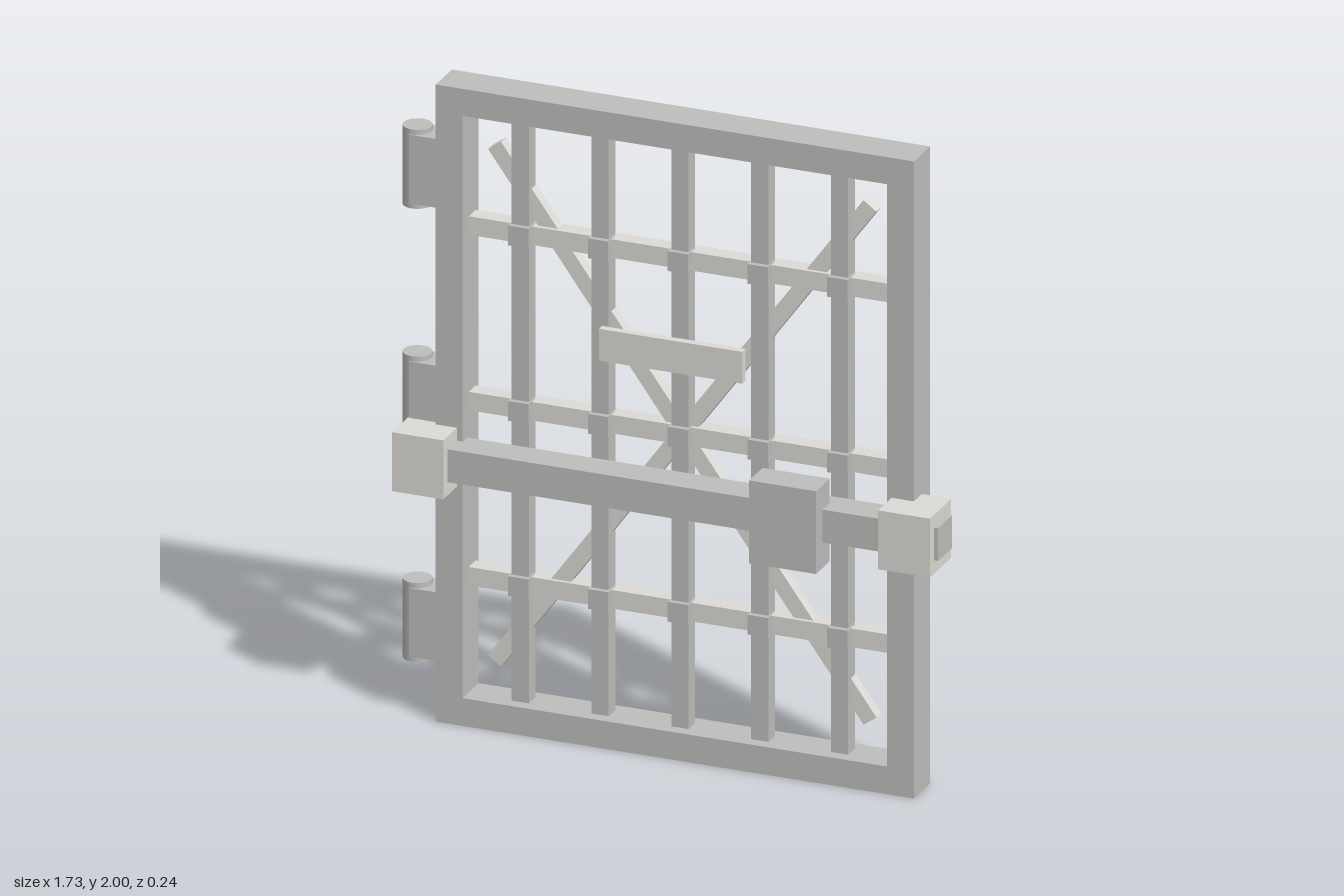
import * as THREE from 'three';

export function createModel() {
  const model = new THREE.Group();
  model.name = 'barredGate';

  const darkIron = new THREE.MeshStandardMaterial({ color: 0xbebebc });
  darkIron.name = 'grey iron';
  const paleSteel = new THREE.MeshStandardMaterial({ color: 0xdddbd6 });
  paleSteel.name = 'pale steel';

  // Box given by its lower and upper limits on each axis
  function box(name, material, [x0, x1], [y0, y1], [z0, z1], parent = model) {
    const mesh = new THREE.Mesh(new THREE.BoxGeometry(x1 - x0, y1 - y0, z1 - z0), material);
    mesh.position.set((x0 + x1) / 2, (y0 + y1) / 2, (z0 + z1) / 2);
    mesh.name = name;
    parent.add(mesh);
    return mesh;
  }

  // Outer frame, one piece with a rectangular opening
  const outline = new THREE.Shape();
  outline.moveTo(-0.739, 0).lineTo(0.759, 0).lineTo(0.759, 2).lineTo(-0.739, 2).closePath();
  const opening = new THREE.Path();
  opening.moveTo(-0.655, 0.087).lineTo(-0.655, 1.915).lineTo(0.674, 1.915).lineTo(0.674, 0.087).closePath();
  outline.holes.push(opening);
  const frame = new THREE.Mesh(
    new THREE.ExtrudeGeometry(outline, { depth: 0.122, bevelEnabled: false }), darkIron);
  frame.position.z = -0.12;
  frame.name = 'frame';
  model.add(frame);

  // Upright bars, cross bars and the collars where they meet
  const columns = [-0.49, -0.24, 0.01, 0.26, 0.51];
  const rows = [0.452, 1.002, 1.553];
  for (const x of columns) {
    box('uprightBar', darkIron, [x - 0.027, x + 0.027], [0.087, 1.915], [-0.086, -0.036]);
  }
  for (const y of rows) {
    box('crossBar', paleSteel, [-0.655, 0.674], [y - 0.029, y + 0.029], [-0.097, -0.044]);
    for (const x of columns) {
      box('collar', darkIron, [x - 0.032, x + 0.032], [y - 0.031, y + 0.031], [-0.075, -0.02]);
    }
  }

  // Diagonal braces
  for (const side of [-1, 1]) {
    const brace = new THREE.Mesh(new THREE.BoxGeometry(2, 0.05, 0.036), paleSteel);
    brace.position.set(0.009, 1.003, -0.074 + side * 0.0005);
    brace.rotation.z = side * Math.atan2(1.61, 1.17);
    brace.name = 'diagonalBrace';
    model.add(brace);
  }

  // Sliding bolt with its end brackets and lock
  box('boltBar', darkIron, [-0.75, 0.864], [0.79, 0.893], [-0.03, 0.073]);
  box('boltBracketRight', paleSteel, [-0.833, -0.673], [0.748, 0.933], [-0.057, 0.104]);
  box('boltBracketLeft', paleSteel, [0.689, 0.851], [0.748, 0.933], [-0.057, 0.104]);
  box('lockBox', darkIron, [0.292, 0.502], [0.71, 0.97], [0.02, 0.122]);

  // Blank plate on the front
  box('frontPlate', paleSteel, [-0.215, 0.235], [1.23, 1.33], [0.01, 0.034]);

  // Three hinges on one side
  for (const y of [0.291, 1.002, 1.714]) {
    const hinge = new THREE.Group();
    hinge.name = 'hinge';
    model.add(hinge);
    box('hingeLeaf', darkIron, [-0.83, -0.739], [y - 0.108, y + 0.108], [-0.11, -0.014], hinge);
    const barrel = new THREE.Mesh(new THREE.CylinderGeometry(0.044, 0.044, 0.248, 16), darkIron);
    barrel.position.set(-0.822, y, -0.061);
    barrel.name = 'hingeBarrel';
    hinge.add(barrel);
  }

  return model;
}
